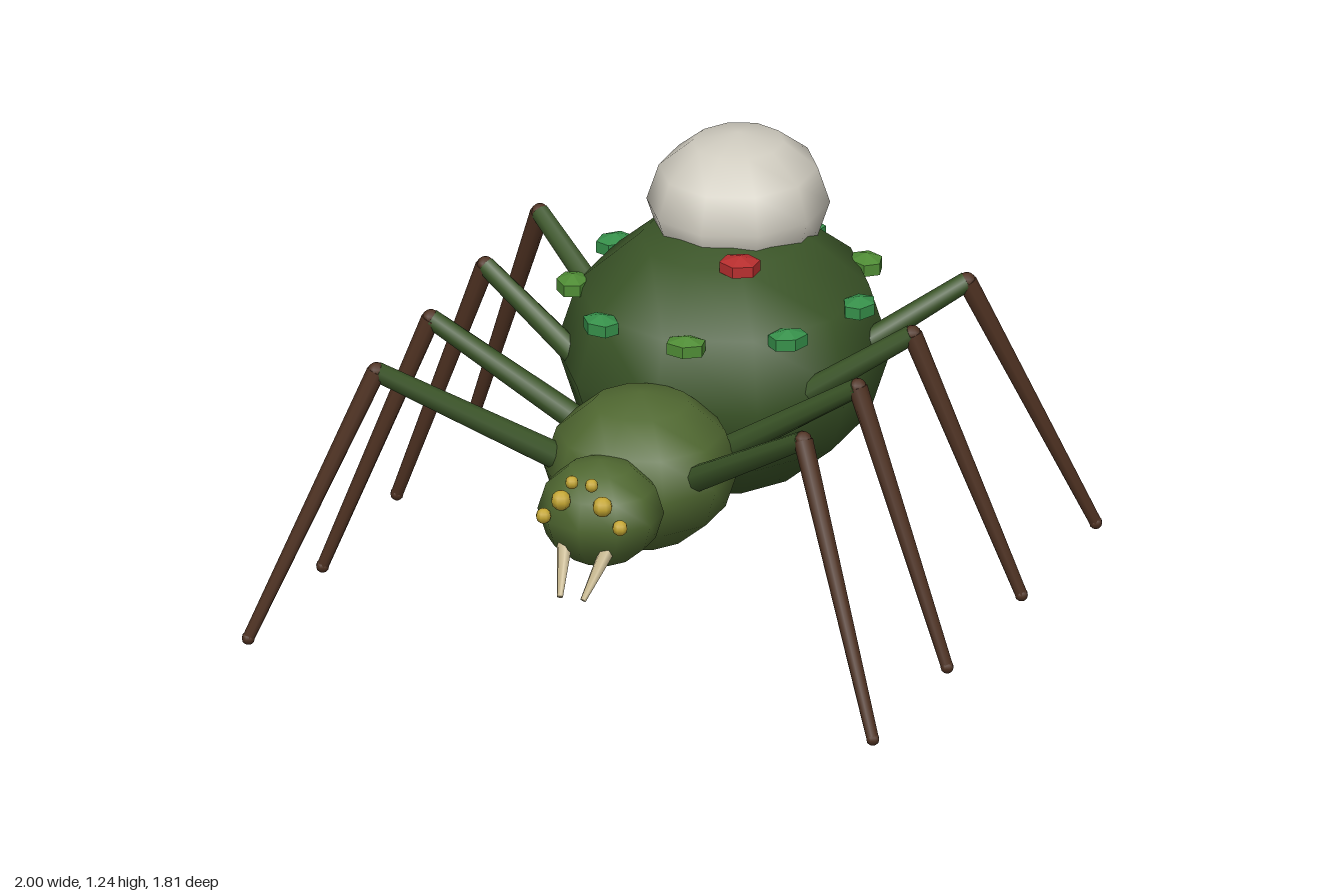
import * as THREE from 'three';

const mat = (color, flatShading = false) =>
  new THREE.MeshStandardMaterial({ color, flatShading });

const shell = mat(0x3b5528);
const flesh = mat(0x506831);
const silk = mat(0xd0ccc0);
const shin = mat(0x4f3222);
const gold = mat(0xc4a632);
const bone = mat(0xc8b88e);
const bumpLight = mat(0x4f8c35, true);
const bumpDark = mat(0x36904a, true);
const red = mat(0xb82e2e, true);

// Ellipsoid with a vertex column facing straight forward
function ellipsoid(name, material, pos, radii, sides = 10, bands = 6) {
  const geo = new THREE.SphereGeometry(1, sides, bands);
  geo.rotateY(Math.PI / 2);
  const mesh = new THREE.Mesh(geo, material);
  mesh.name = name;
  mesh.position.set(...pos);
  mesh.scale.set(...radii);
  return mesh;
}

// Tapered limb between two points
function limb(name, material, from, to, r0, r1, sides = 8) {
  const a = new THREE.Vector3(...from);
  const b = new THREE.Vector3(...to);
  const dir = b.clone().sub(a);
  const mesh = new THREE.Mesh(
    new THREE.CylinderGeometry(r1, r0, dir.length(), sides), material);
  mesh.name = name;
  mesh.position.copy(a).add(b).multiplyScalar(0.5);
  mesh.quaternion.setFromUnitVectors(new THREE.Vector3(0, 1, 0), dir.normalize());
  return mesh;
}

function createLeg(side, i) {
  const leg = new THREE.Group();
  leg.name = (side > 0 ? 'left' : 'right') + 'Leg' + (i + 1);
  const hip = [side * 0.21, 0.51, 0.37 - i * 0.23];
  const knee = [side * 0.67, 0.825, 0.66 - i * 0.42];
  const foot = [side * 0.98, 0.02, 0.885 - i * 0.572];
  leg.add(
    limb('upperLeg', shell, hip, knee, 0.04, 0.029),
    limb('lowerLeg', shin, knee, foot, 0.029, 0.018),
    ellipsoid('kneeJoint', shin, knee, [0.027, 0.027, 0.027], 8, 6),
    ellipsoid('footTip', shin, foot, [0.02, 0.02, 0.02], 8, 6));
  return leg;
}

export function createModel() {
  const model = new THREE.Group();
  model.name = 'spider';

  // Body
  model.add(
    ellipsoid('abdomen', shell, [0, 0.6, -0.37], [0.483, 0.41, 0.535]),
    ellipsoid('eggSac', silk, [0, 1.02, -0.483], [0.265, 0.215, 0.287]),
    ellipsoid('thorax', flesh, [0, 0.475, 0.265], [0.284, 0.236, 0.29]),
    ellipsoid('head', flesh, [0, 0.46, 0.575], [0.186, 0.16, 0.175]));

  // Ring of nine bumps around the abdomen, plus one red mark on top
  for (let i = 0; i < 9; i++) {
    const a = (i * 40 * Math.PI) / 180;
    const bump = ellipsoid('backBump', i > 0 && i % 2 === 0 ? bumpLight : bumpDark,
      [0.43 * Math.cos(a), 0.8, -0.36 + 0.47 * Math.sin(a)], [0.07, 0.035, 0.055], 6, 3);
    bump.rotation.y = Math.PI / 2 - a;
    model.add(bump);
  }
  model.add(ellipsoid('redMark', red, [0.14, 0.965, -0.152], [0.07, 0.033, 0.066], 6, 3));

  // Mirrored eyes, fangs and legs
  const eyes = [[0.065, 0.54, 0.03], [0.12, 0.482, 0.023], [0.031, 0.602, 0.02]];
  for (const side of [1, -1]) {
    for (const [x, y, r] of eyes) {
      model.add(ellipsoid('eye', gold, [side * x, y, 0.722], [r, r, r], 8, 6));
    }
    model.add(limb('fang', bone, [side * 0.067, 0.39, 0.69],
      [side * 0.036, 0.27, 0.8], 0.024, 0.009, 6));
    for (let i = 0; i < 4; i++) model.add(createLeg(side, i));
  }
  return model;
}
